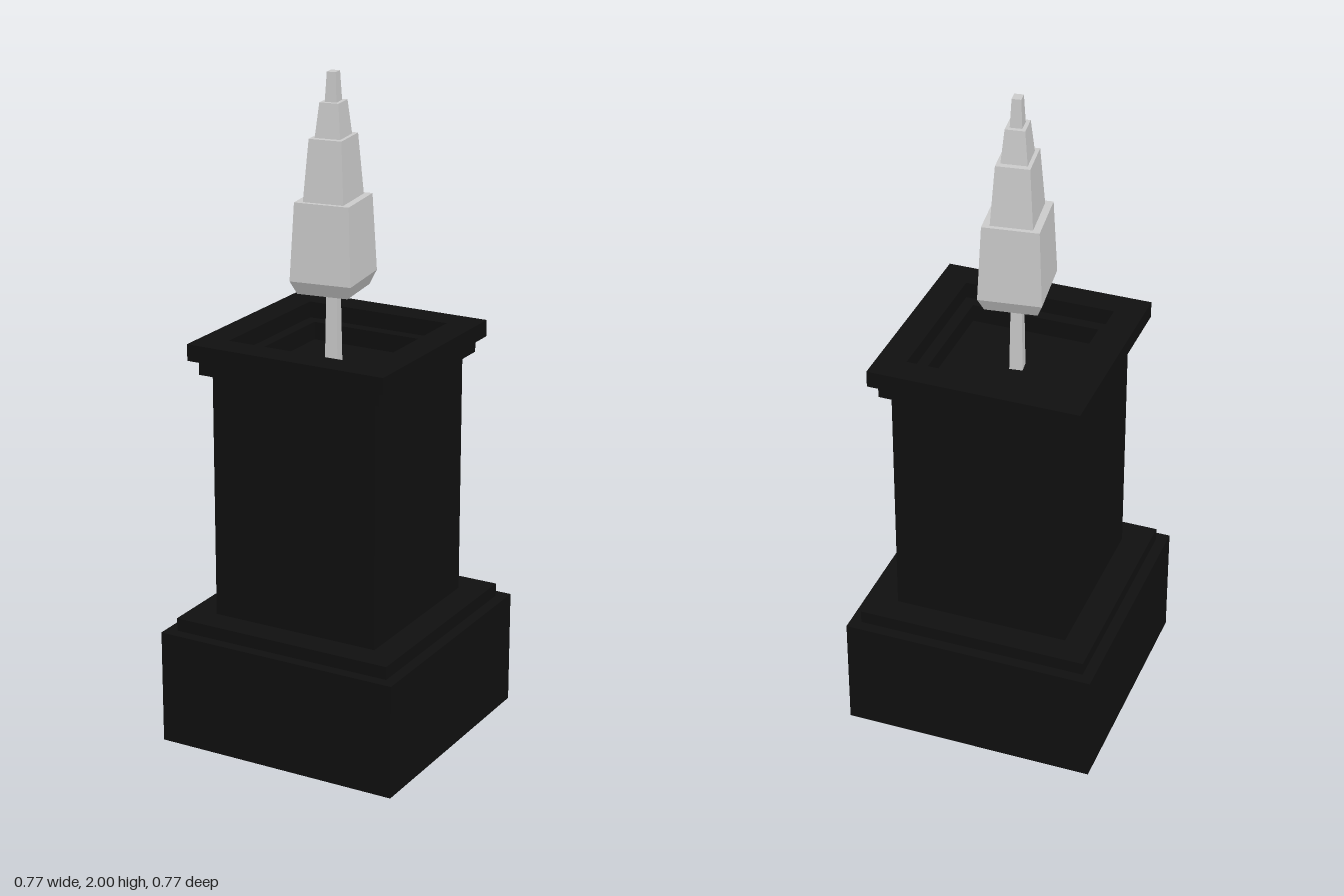
import * as THREE from 'three';

const black = new THREE.MeshStandardMaterial({ color: 0x101010, flatShading: true, side: THREE.DoubleSide });
const grey = new THREE.MeshStandardMaterial({ color: 0xcccccc, flatShading: true });

// Square shell from a profile of [half width, height]
function squareShell(name, profile) {
  const points = profile.map(([half, y]) => new THREE.Vector2(half * Math.SQRT2, y));
  const mesh = new THREE.Mesh(new THREE.LatheGeometry(points, 4, Math.PI / 4), black);
  mesh.name = name;
  return mesh;
}

// Tapered rectangular block between two heights; taper = top size / bottom size
function taperedBlock(name, y0, y1, width, depth, taper) {
  const geo = new THREE.CylinderGeometry(Math.SQRT1_2 * taper, Math.SQRT1_2, 1, 4);
  geo.rotateY(Math.PI / 4).scale(width, y1 - y0, depth).translate(0, (y0 + y1) / 2, 0);
  const mesh = new THREE.Mesh(geo, grey);
  mesh.name = name;
  return mesh;
}

export function createModel() {
  const model = new THREE.Group();
  model.name = 'planterWithTree';

  // Hollow planter, open underneath, with a recessed top
  const planter = new THREE.Group();
  planter.name = 'planter';
  planter.add(
    squareShell('plinth', [[0.386, 0], [0.386, 0.35], [0.352, 0.35], [0.352, 0.39], [0.267, 0.39]]),
    squareShell('column', [[0.267, 0.39], [0.267, 1.14]]),
    squareShell('rim', [[0.267, 1.14], [0.295, 1.14], [0.295, 1.185], [0.319, 1.185], [0.319, 1.235], [0.232, 1.235]]),
    squareShell('recess', [[0.232, 1.235], [0.232, 1.185], [0.197, 1.185], [0.197, 1.13], [0, 1.13]]),
  );
  model.add(planter);

  // Tiered tree, turned slightly and set off centre
  const tree = new THREE.Group();
  tree.name = 'tree';
  tree.position.set(-0.0135, 0, 0.009);
  tree.rotation.y = 0.136;
  tree.add(taperedBlock('trunk', 1.12, 1.37, 0.04, 0.04, 0.8));
  tree.add(taperedBlock('foliageUnderside', 1.365, 1.405, 0.155, 0.174, 1.205));
  const tiers = [
    [1.405, 1.635, 0.187, 0.21, 0.89],
    [1.635, 1.815, 0.124, 0.161, 0.8],
    [1.815, 1.915, 0.078, 0.094, 0.74],
    [1.915, 2, 0.036, 0.044, 0.75],
  ];
  // Each tier starts just inside the one below
  tiers.forEach(([y0, y1, w, d, t], i) => tree.add(taperedBlock(`foliageTier${i + 1}`, i ? y0 - 0.005 : y0, y1, w, d, t)));
  model.add(tree);

  return model;
}
